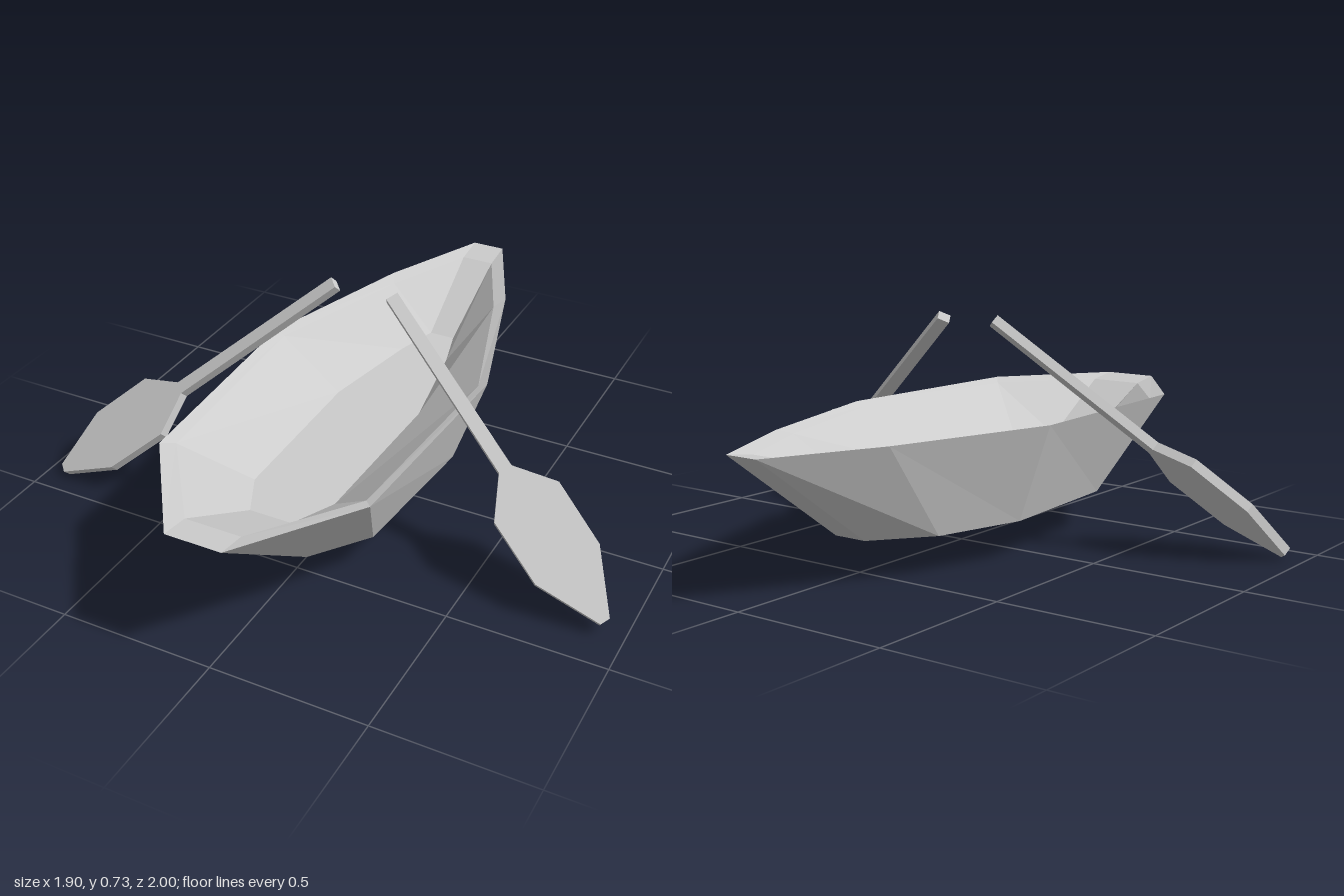
import * as THREE from 'three';

const grey = new THREE.MeshStandardMaterial({ color: 0xcccccc, flatShading: true, side: THREE.DoubleSide });
grey.name = 'plain grey';

const CENTRE_X = -0.025;

// Closed ring from [z, half width] stations, stern to bow and back again
function ring(y, stations) {
  const side = (s) => stations.map(([z, w]) => new THREE.Vector3(CENTRE_X + s * w, y, z));
  return [...side(1), ...side(-1).reverse()];
}

function meshFromQuads(name, quads) {
  const points = quads.flatMap(([a, b, c, d]) => [a, b, c, a, c, d]);
  const geometry = new THREE.BufferGeometry().setFromPoints(points);
  geometry.computeVertexNormals();
  const mesh = new THREE.Mesh(geometry, grey);
  mesh.name = name;
  return mesh;
}

// Band of faces joining two rings
function band(name, a, b) {
  return meshFromQuads(name, a.map((p, i) => {
    const j = (i + 1) % a.length;
    return [p, b[i], b[j], a[j]];
  }));
}

// Flat deck between the two sides of a ring
function deck(name, r) {
  const last = r.length - 1, quads = [];
  for (let i = 0; i < r.length / 2 - 1; i++) quads.push([r[last - i], r[last - i - 1], r[i + 1], r[i]]);
  return meshFromQuads(name, quads);
}

// Oar along a line from grip to tip, its blade spread along `across`
function oar(name, grip, tip, across) {
  const start = new THREE.Vector3(...grip);
  const along = new THREE.Vector3(...tip).sub(start);
  const length = along.length();
  along.normalize();
  const wide = new THREE.Vector3(...across);
  wide.addScaledVector(along, -wide.dot(along)).normalize();
  const normal = along.clone().cross(wide);

  // Half outline: shaft, neck, broad blade, narrow tip
  const half = [[0, 0.02], [0.63, 0.022], [0.745, 0.113], [0.96, 0.111], [length, 0.016]];
  const outline = [...half.map(([t, w]) => [t, -w]), ...half.map(([t, w]) => [t, w]).reverse()];
  const shape = new THREE.Shape(outline.map(([t, w]) => new THREE.Vector2(t, w)));
  const geometry = new THREE.ExtrudeGeometry(shape, { depth: 0.03, bevelEnabled: false });
  geometry.translate(0, 0, -0.015);
  geometry.applyMatrix4(new THREE.Matrix4().makeBasis(along, wide, normal).setPosition(start));
  const mesh = new THREE.Mesh(geometry, grey);
  mesh.name = name;
  return mesh;
}

export function createModel() {
  const model = new THREE.Group();
  model.name = 'rowingBoat';

  // Hull: open-bottomed outer shell, gently sloped rim, inner walls and raised floor
  const keel = ring(0.123, [[-0.57, 0.055], [-0.395, 0.19], [-0.1, 0.272], [0.4, 0.235], [0.575, 0.104]]);
  const outerRim = ring(0.43, [[-1, 0.055], [-0.645, 0.215], [-0.1, 0.38], [0.64, 0.347], [1, 0.09]]);
  const innerRim = ring(0.415, [[-0.9, 0.055], [-0.6, 0.19], [-0.1, 0.35], [0.6, 0.315], [0.9, 0.09]]);
  const floor = ring(0.253, [[-0.6, 0.043], [-0.45, 0.085], [-0.1, 0.147], [0.46, 0.138], [0.6, 0.07]]);

  const hull = new THREE.Group();
  hull.name = 'hull';
  hull.add(
    band('outerShell', keel, outerRim),
    band('rim', outerRim, innerRim),
    band('innerWall', innerRim, floor),
    deck('floor', floor),
  );

  // Oars, one resting each side
  model.add(
    hull,
    oar('leftOar', [0.07, 0.715, 0], [0.935, 0.042, 0.36], [0.6, 0.39, -0.7]),
    oar('rightOar', [-0.124, 0.715, 0], [-0.935, 0.018, 0.412], [-0.67, 0.39, -0.63]),
  );
  return model;
}
